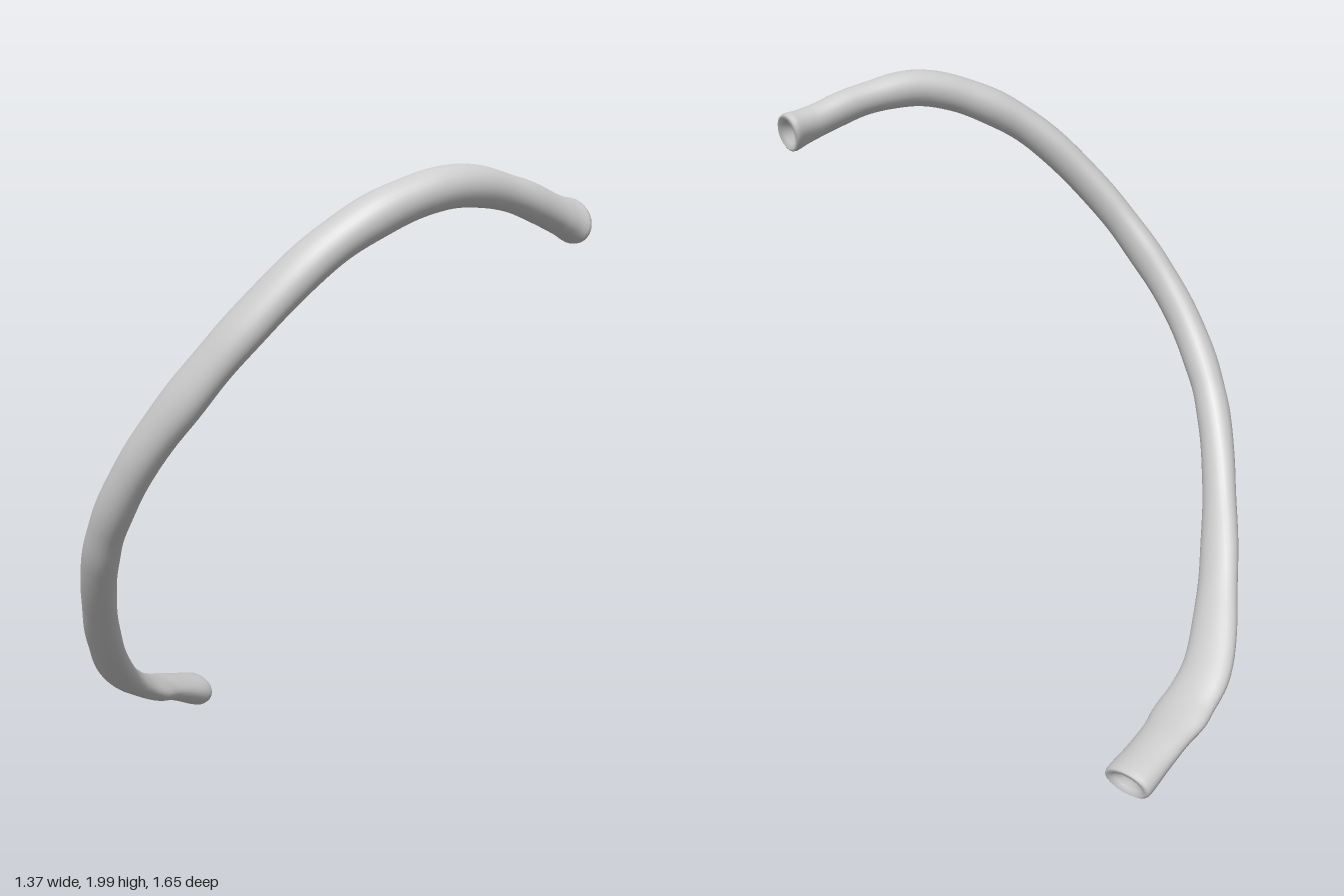
import * as THREE from 'three';

// Stations along the bone: centre x, y, z, half width, half thickness
const stations = [
  [0.15, 0.07, -0.745, 0.088, 0.058],
  [0.0, 0.12, -0.675, 0.088, 0.045],
  [-0.12, 0.158, -0.61, 0.1, 0.043],
  [-0.25, 0.235, -0.535, 0.092, 0.047],
  [-0.4, 0.395, -0.345, 0.08, 0.05],
  [-0.53, 0.6, -0.13, 0.071, 0.052],
  [-0.61, 0.8, 0.045, 0.066, 0.056],
  [-0.63, 0.95, 0.16, 0.065, 0.057],
  [-0.605, 1.15, 0.31, 0.068, 0.055],
  [-0.525, 1.35, 0.455, 0.074, 0.052],
  [-0.4, 1.55, 0.575, 0.073, 0.051],
  [-0.2, 1.765, 0.675, 0.07, 0.055],
  [0.0, 1.885, 0.73, 0.067, 0.06],
  [0.19, 1.937, 0.757, 0.065, 0.06],
  [0.4, 1.915, 0.755, 0.058, 0.053],
  [0.57, 1.865, 0.738, 0.065, 0.054],
  [0.655, 1.843, 0.722, 0.085, 0.06],
];

// Direction of the wide axis, twisting from the flat lower end upward
const wideLow = new THREE.Vector3(0.4, -0.15, 0.88);
const wideHigh = new THREE.Vector3(0, -0.59, 0.806);

// Dished end caps: scale of the ring, offset outward along the bone
const cap = [[0.96, 0.009], [0.82, 0.014], [0.62, 0.0], [0.35, -0.014], [0, -0.018]];

function ribGeometry(steps, sides) {
  const path = new THREE.CatmullRomCurve3(stations.map(s => new THREE.Vector3(s[0], s[1], s[2])));
  const sizes = new THREE.CatmullRomCurve3(stations.map(s => new THREE.Vector3(s[3], s[4], 0)));

  // Rings: position along the path, scale, outward offset
  const rings = [];
  for (const [k, o] of [...cap].reverse()) rings.push([0, k, -o]);
  for (let i = 0; i <= steps; i++) rings.push([i / steps, 1, 0]);
  for (const [k, o] of cap) rings.push([1, k, o]);

  const pos = [], index = [];
  for (const [t, k, o] of rings) {
    const T = path.getTangent(t);
    const c = path.getPoint(t).addScaledVector(T, o);
    const size = sizes.getPoint(t);
    const W = wideLow.clone().lerp(wideHigh, THREE.MathUtils.smoothstep(t, 0.15, 0.42));
    W.addScaledVector(T, -W.dot(T)).normalize();
    const N = T.clone().cross(W);
    // Faint surface unevenness
    const rough = 1 + 0.012 * Math.sin(t * 71) + 0.01 * Math.sin(t * 113 + 1);
    for (let j = 0; j < sides; j++) {
      const a = (j / sides) * Math.PI * 2;
      const p = c.clone()
        .addScaledVector(W, Math.cos(a) * size.x * k * rough)
        .addScaledVector(N, Math.sin(a) * size.y * k * rough);
      pos.push(p.x, p.y, p.z);
    }
  }
  for (let i = 0; i < rings.length - 1; i++) {
    for (let j = 0; j < sides; j++) {
      const a = i * sides + j, b = i * sides + (j + 1) % sides;
      index.push(a, b, a + sides, b, b + sides, a + sides);
    }
  }
  const g = new THREE.BufferGeometry();
  g.setAttribute('position', new THREE.Float32BufferAttribute(pos, 3));
  g.setIndex(index);
  g.computeBoundingBox();
  g.translate(0, -g.boundingBox.min.y, 0);
  g.computeVertexNormals();
  return g;
}

export function createModel() {
  const group = new THREE.Group();
  group.name = 'rib';
  const bone = new THREE.MeshStandardMaterial({ color: 0xcccccc });
  bone.name = 'bone grey';
  const mesh = new THREE.Mesh(ribGeometry(160, 28), bone);
  mesh.name = 'ribBone';
  group.add(mesh);
  return group;
}
